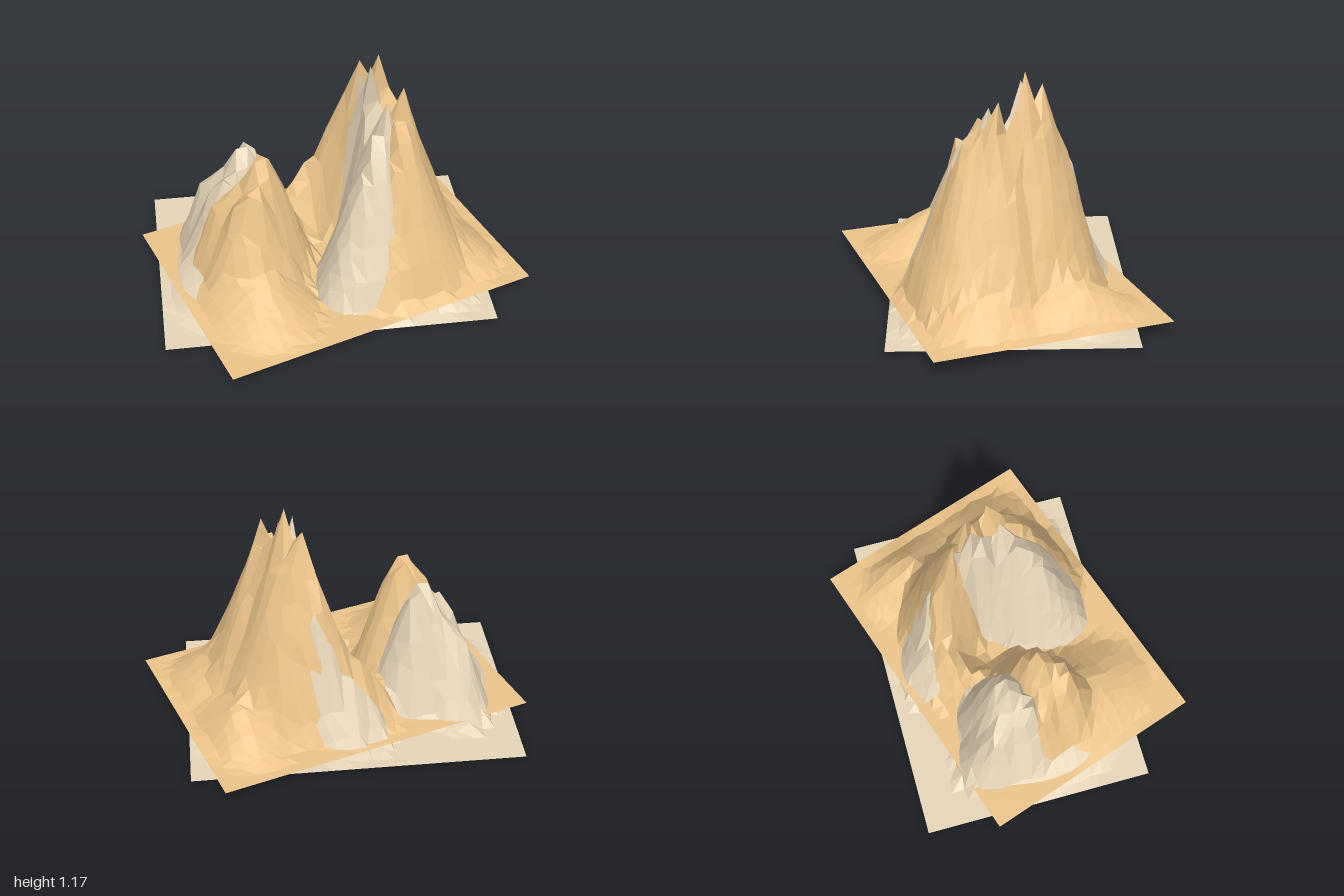
import * as THREE from 'three';

const W = 1.16, D = 1.61, NX = 20, NZ = 28;

// Sharp summits: x, z, height, then reach to left, right, back and front
const PEAKS = [
  [-0.05, -0.26, 1.1, 0.4, 0.42, 0.36, 0.18],
  [-0.154, -0.215, 1.02, 0.3, 0.15, 0.36, 0.18],
  [0.1, -0.317, 0.985, 0.25, 0.36, 0.34, 0.26],
];

// Blunt shoulders, arms and skirts, in the same order of numbers
const SHOULDERS = [
  // arm curving forward on the left side of the main mountain
  [0.17, -0.25, 0.84, 0.25, 0.36, 0.37, 0.26],
  [0.24, -0.18, 0.67, 0.26, 0.33, 0.37, 0.24],
  [0.31, -0.09, 0.36, 0.22, 0.24, 0.34, 0.16],
  [0.26, -0.3, 0.62, 0.3, 0.3, 0.34, 0.3],
  // lower arm on the other side, hooking inward
  [-0.24, -0.175, 0.78, 0.23, 0.2, 0.36, 0.17],
  [-0.29, -0.11, 0.54, 0.2, 0.14, 0.32, 0.16],
  [-0.33, -0.02, 0.36, 0.2, 0.13, 0.3, 0.15],
  [-0.32, 0.07, 0.26, 0.18, 0.12, 0.2, 0.13],
  [-0.25, 0.14, 0.19, 0.15, 0.15, 0.13, 0.12],
  // skirts behind the main mountain
  [-0.2, -0.58, 0.17, 0.32, 0.45, 0.2, 0.3],
  [0.25, -0.52, 0.2, 0.45, 0.32, 0.26, 0.35],
  // front hill with its rounded top and sides
  [-0.04, 0.344, 0.69, 0.25, 0.21, 0.27, 0.32],
  [-0.09, 0.345, 0.67, 0.23, 0.2, 0.27, 0.3],
  [0.04, 0.437, 0.58, 0.2, 0.18, 0.28, 0.25],
  [-0.11, 0.46, 0.52, 0.22, 0.25, 0.3, 0.24],
  [-0.155, 0.535, 0.44, 0.21, 0.25, 0.25, 0.18],
  [0, 0.5, 0.48, 0.25, 0.22, 0.25, 0.22],
  [0.08, 0.48, 0.22, 0.4, 0.48, 0.3, 0.31],
];

function seeded(seed) {
  return () => {
    seed = (seed * 16807) % 2147483647;
    return seed / 2147483647 - 0.5;
  };
}

// Share of the height left at a point, from 1 at the top to 0 at the foot
function slope(x, z, [cx, cz, , left, right, back, front]) {
  const dx = (x - cx) / (x < cx ? left : right);
  const dz = (z - cz) / (z < cz ? back : front);
  return Math.pow(Math.max(0, 1 - Math.hypot(dx, dz)), 1.1);
}

// Soft maximum of all the parts, faded to the flat border
function heightAt(x, z) {
  let sum = 0;
  for (const part of PEAKS) sum += Math.pow(part[2] * slope(x, z, part), 10);
  for (const part of SHOULDERS) {
    sum += Math.pow(part[2] * Math.min(1, 1.15 * slope(x, z, part)), 10);
  }
  const edge = Math.min(W / 2 - Math.abs(x), D / 2 - Math.abs(z));
  return Math.pow(sum, 1 / 10) * Math.min(1, Math.max(0, edge / 0.1));
}

// Jittered sheet of ground raised into the ridges
function terrainGeometry() {
  const geo = new THREE.PlaneGeometry(W, D, NX, NZ).rotateX(-Math.PI / 2);
  const p = geo.attributes.position;
  const rand = seeded(4711);
  for (let i = 0; i < p.count; i++) {
    const col = i % (NX + 1), row = Math.floor(i / (NX + 1));
    if (col === 0 || col === NX || row === 0 || row === NZ) continue;
    const x = p.getX(i) + rand() * 0.026;
    const z = p.getZ(i) + rand() * 0.026;
    p.setXYZ(i, x, heightAt(x, z) * (1 + rand() * 0.06), z);
  }
  // pull the nearest vertex onto a given point
  const snap = (cx, cz, y) => {
    let best = 0, bestD = Infinity;
    for (let i = 0; i < p.count; i++) {
      const d = Math.hypot(p.getX(i) - cx, p.getZ(i) - cz);
      if (d < bestD) { bestD = d; best = i; }
    }
    p.setXYZ(best, cx, y, cz);
  };
  snap(-0.105, -0.24, 0.95); // notch between the summits
  snap(0.244, 0.2, -0.013); // bottom of the gully
  for (const [cx, cz, h] of PEAKS) snap(cx, cz, h);
  geo.computeVertexNormals();
  return geo;
}

export function createModel() {
  const group = new THREE.Group();
  group.name = 'mountains';
  const geo = terrainGeometry();

  // The same ground twice, one turned and lowered against the other
  const addSheet = (name, color, x, y, z, turn) => {
    const mesh = new THREE.Mesh(geo, new THREE.MeshStandardMaterial({
      color, flatShading: true, side: THREE.DoubleSide,
    }));
    mesh.name = name;
    mesh.position.set(x, y, z);
    mesh.rotation.y = -turn;
    group.add(mesh);
  };
  addSheet('upperMountains', 0xedc48a, 0.09, 0.065, -0.025, 0.234);
  addSheet('lowerMountains', 0xe6d5b8, 0, 0.013, 0, 0.559);
  return group;
}
